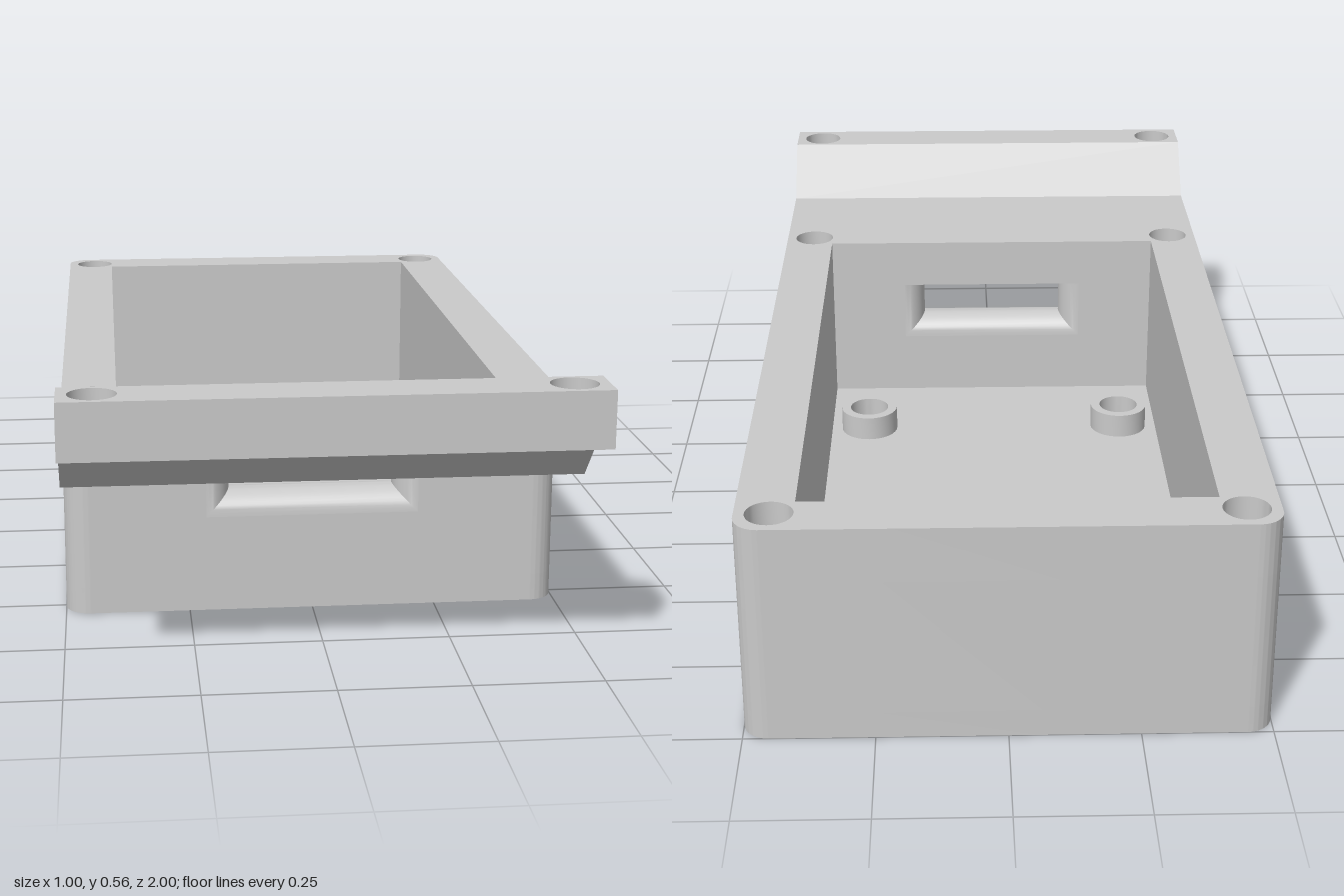
import * as THREE from 'three';
import { toCreasedNormals } from 'three/addons/utils/BufferGeometryUtils.js';

const W = 0.5, BACK = -1, FRONT = 0.555, R = 0.05;   // outer case
const IN_X = 0.39, IN_BACK = -0.893, IN_FRONT = 0.445; // cavity
const FLOOR = 0.055, LIP = 0.335, TOP = 0.445;
const GAP = 0.25;                                     // half width of the slotted front panel

export function createModel() {
  const group = new THREE.Group();
  const grey = new THREE.MeshStandardMaterial({ color: 0xcacaca });
  grey.name = 'grey';

  function add(name, geometry) {
    const mesh = new THREE.Mesh(toCreasedNormals(geometry, 0.6), grey);
    mesh.name = name;
    group.add(mesh);
    return mesh;
  }

  // Extrude a plan shape (x, z) between two heights
  function slab(name, shape, y0, y1) {
    const g = new THREE.ExtrudeGeometry(shape, { depth: y1 - y0, bevelEnabled: false, curveSegments: 16 });
    g.rotateX(Math.PI / 2);
    g.translate(0, y1, 0);
    return add(name, g);
  }

  const polygon = pts => new THREE.Shape(pts.map(p => new THREE.Vector2(...p)));

  function hole(shape, x, z, r) {
    shape.holes.push(new THREE.Path().absarc(x, z, r, 0, Math.PI * 2, true));
  }

  // Case outline, starting and ending at the middle of the front edge
  function outline(roundFront) {
    const s = new THREE.Shape(), q = Math.PI / 2;
    s.moveTo(-GAP, FRONT);
    s.lineTo(roundFront ? -W + R : -W, FRONT);
    if (roundFront) s.absarc(-W + R, FRONT - R, R, q, 2 * q);
    s.absarc(-W + R, BACK + R, R, 2 * q, 3 * q);
    s.absarc(W - R, BACK + R, R, 3 * q, 4 * q);
    if (roundFront) s.absarc(W - R, FRONT - R, R, 0, q);
    else s.lineTo(W, FRONT);
    s.lineTo(GAP, FRONT);
    return s;
  }

  // Walls around the cavity, open at the front panel, with screw holes
  function walls(roundFront) {
    const s = outline(roundFront);
    for (const [x, z] of [[GAP, IN_FRONT], [IN_X, IN_FRONT], [IN_X, IN_BACK],
      [-IN_X, IN_BACK], [-IN_X, IN_FRONT], [-GAP, IN_FRONT]]) s.lineTo(x, z);
    for (const x of [-0.435, 0.435]) for (const z of [-0.937, 0.487]) hole(s, x, z, 0.045);
    return s;
  }

  slab('floor', outline(true), 0, FLOOR);
  slab('lowerWalls', walls(true), FLOOR, LIP);
  slab('upperWalls', walls(false), LIP, TOP);

  // Front panel with a slot whose sides and sill are rounded, under a flat lintel
  const half = (FRONT - IN_FRONT) / 2, mid = (FRONT + IN_FRONT) / 2;
  const r = 0.048, sx = 0.167, sy0 = 0.245, sy1 = 0.325, ox = sx + r;
  const notch = top => polygon([[-GAP, FLOOR], [GAP, FLOOR], [GAP, top], [ox, top],
    [ox, sy0 - r], [-ox, sy0 - r], [-ox, top], [-GAP, top]]);
  add('frontPanelOutside', new THREE.ShapeGeometry(notch(LIP)).translate(0, 0, FRONT));
  add('frontPanelInside', new THREE.ShapeGeometry(notch(LIP)).rotateY(Math.PI).translate(0, 0, IN_FRONT));

  const lintel = new THREE.PlaneGeometry(2 * GAP, TOP - LIP);
  add('frontPanelLintel', lintel.rotateY(Math.PI).translate(0, (TOP + LIP) / 2, IN_FRONT));
  add('frontPanelTop', new THREE.PlaneGeometry(2 * GAP, FRONT - IN_FRONT)
    .rotateX(-Math.PI / 2).translate(0, TOP, mid));

  // Slot lining: rectangular loops swept through a half circle
  const pos = [], index = [], steps = 20;
  for (let i = 0; i <= steps; i++) {
    const a = Math.PI * i / steps, off = r * (1 - Math.sin(a)), z = mid + half * Math.cos(a);
    const x = sx + off, b = sy0 - off, t = Math.min(sy1 + off, LIP);
    pos.push(-x, b, z, x, b, z, x, t, z, -x, t, z);
    if (i < steps) for (let k = 0; k < 4; k++) {
      const p = i * 4 + k, n = i * 4 + (k + 1) % 4;
      index.push(p, n, n + 4, p, n + 4, p + 4);
    }
  }
  const lining = new THREE.BufferGeometry();
  lining.setAttribute('position', new THREE.Float32BufferAttribute(pos, 3));
  lining.setIndex(index);
  add('slotLining', lining);

  // Stepped flange at the front: cranked arm and drilled end plate
  const arm = new THREE.ExtrudeGeometry(polygon([[FRONT, LIP], [0.78, LIP], [0.89, TOP], [0.89, 0.555],
    [0.778, TOP], [FRONT, TOP]]), { depth: 2 * W, bevelEnabled: false });
  add('flangeArm', arm.rotateY(-Math.PI / 2).translate(W, 0, 0));

  const plate = polygon([[-W, 0.89], [W, 0.89], [W, 1], [-W, 1]]);
  for (const x of [-0.435, 0.435]) hole(plate, x, 0.943, 0.045);
  slab('flangePlate', plate, TOP, 0.555);

  // Hollow mounting posts on the floor
  for (const x of [-0.3, 0.3]) for (const z of [-0.78, 0.22]) {
    const ring = new THREE.Shape().absarc(x, z, 0.066, 0, Math.PI * 2);
    hole(ring, x, z, 0.045);
    slab('mountingPost', ring, FLOOR, FLOOR + 0.055);
  }
  return group;
}
